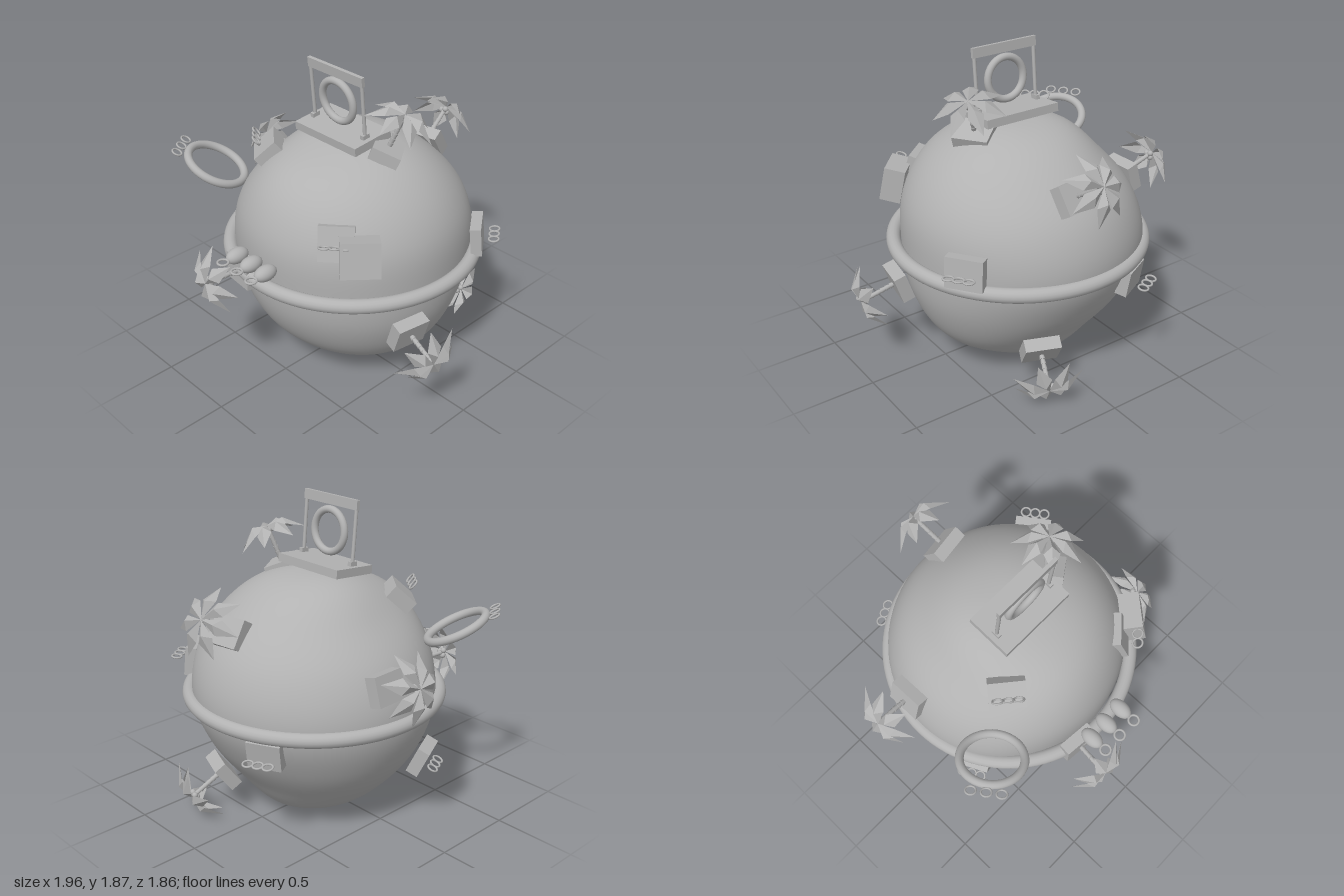
import * as THREE from 'three';
import { mergeVertices } from 'three/addons/utils/BufferGeometryUtils.js';

const grey = new THREE.MeshStandardMaterial({ color: 0xb2b2b2 });
grey.name = 'stone grey';
const leaf = new THREE.MeshStandardMaterial({ color: 0xb2b2b2, side: THREE.DoubleSide, flatShading: true });
leaf.name = 'leaf grey';

function add(parent, name, geo, x = 0, y = 0, z = 0, mat = grey) {
  const m = new THREE.Mesh(geo, mat);
  m.name = name;
  m.position.set(x, y, z);
  parent.add(m);
  return m;
}

// Group at a point on the planet, with its local z pointing outwards
function mount(root, name, pos, normal) {
  const g = new THREE.Group();
  g.name = name;
  g.position.set(...pos);
  g.lookAt(pos[0] + normal[0], pos[1] + normal[1], pos[2] + normal[2]);
  root.add(g);
  return g;
}

// Lumpy planet: four meridian profiles (radius from top to bottom), blended around
function planetGeometry() {
  const right = [.72, .736, .743, .734, .705, .73, .757, .73, .72];
  const left = [.72, .73, .69, .715, .737, .715, .71, .736, .72];
  const front = [.72, .728, .765, .742, .698, .708, .719, .712, .72];
  const back = [.72, .72, .712, .734, .735, .69, .68, .746, .72];
  const sample = (p, t) => {
    const f = Math.min(t * 8, 7.9999), i = Math.floor(f), u = f - i;
    const a = p[Math.max(i - 1, 0)], b = p[i], c = p[i + 1], d = p[Math.min(i + 2, 8)];
    return b + 0.5 * u * (c - a + u * (2 * a - 5 * b + 4 * c - d + u * (3 * (b - c) + d - a)));
  };
  let geo = new THREE.SphereGeometry(1, 72, 48);
  geo.deleteAttribute('uv');
  geo.deleteAttribute('normal');
  geo = mergeVertices(geo, 1e-4);
  const pos = geo.attributes.position, v = new THREE.Vector3();
  for (let i = 0; i < pos.count; i++) {
    v.fromBufferAttribute(pos, i).normalize();
    const t = Math.acos(THREE.MathUtils.clamp(v.y, -1, 1)) / Math.PI;
    const h = v.x * v.x + v.z * v.z, w = h > 1e-8 ? v.x * v.x / h : 0.5;
    const r = w * sample(v.x > 0 ? right : left, t) + (1 - w) * sample(v.z > 0 ? front : back, t);
    v.multiplyScalar(r);
    pos.setXYZ(i, v.x, v.y, v.z);
  }
  geo.computeVertexNormals();
  return geo;
}

// Folded leaf: ridge from root over the bend to the tip, edges hanging lower
function frondGeometry() {
  const root = [0, 0, .25], ridge = [0, .1, .265], tip = [0, .21, .165];
  const a = [-.046, .115, .225], b = [.046, .115, .225];
  const geo = new THREE.BufferGeometry();
  geo.setAttribute('position', new THREE.Float32BufferAttribute(
    [root, ridge, a, a, ridge, tip, root, b, ridge, b, tip, ridge].flat(), 3));
  geo.computeVertexNormals();
  return geo;
}

function palm(root, pos, normal, spin) {
  const g = mount(root, 'palm', pos, normal);
  add(g, 'planter', new THREE.BoxGeometry(.21, .17, .075));
  // Stacked, flared trunk segments
  for (let i = 0; i < 7; i++) {
    const s = add(g, 'trunkSegment', new THREE.CylinderGeometry(.017 - i * .0006, .012, .032, 10), 0, 0, .045 + i * .03);
    s.rotation.x = Math.PI / 2;
  }
  for (let i = 0; i < 3; i++) {
    const a = i * Math.PI * 2 / 3 + spin;
    add(g, 'coconut', new THREE.SphereGeometry(.018, 12, 8), Math.cos(a) * .02, Math.sin(a) * .02, .225);
  }
  for (let i = 0; i < 7; i++) {
    const f = add(g, 'frond', frondGeometry(), 0, 0, 0, leaf);
    f.rotation.z = spin + i * Math.PI * 2 / 7;
  }
}

// Three small rings in a row, edge-on to the ground
function ringRow(g, offset, spacing = .058) {
  for (let i = -1; i <= 1; i++) {
    const r = add(g, 'smallRing', new THREE.TorusGeometry(.029, .006, 8, 24), i * spacing, 0, offset);
    r.rotation.x = Math.PI / 2;
  }
}

function ringBox(root, pos, normal, size, offset) {
  const g = mount(root, 'ringBox', pos, normal);
  add(g, 'box', new THREE.BoxGeometry(...size));
  ringRow(g, offset);
}

export function createModel() {
  const model = new THREE.Group();
  model.name = 'planet';

  add(model, 'planetBody', planetGeometry(), 0, .75, -.07);
  const band = add(model, 'equatorRing', new THREE.TorusGeometry(.742, .043, 16, 96), .005, .745, -.065);
  band.rotation.x = Math.PI / 2;

  // Gate on the summit
  const gate = new THREE.Group();
  gate.name = 'gate';
  gate.position.set(.005, 1.487, .02);
  gate.rotation.x = .09;
  model.add(gate);
  add(gate, 'platform', new THREE.BoxGeometry(.49, .05, .28));
  for (const s of [-1, 1]) {
    add(gate, 'post', new THREE.CylinderGeometry(.011, .011, .38, 12), s * .203, .2, .02);
    add(gate, 'postFoot', new THREE.BoxGeometry(.025, .03, .05), s * .203, .035, .02);
  }
  add(gate, 'beam', new THREE.BoxGeometry(.43, .057, .022), 0, .37, .02);
  add(gate, 'gateRing', new THREE.TorusGeometry(.122, .022, 14, 48), 0, .19, .02);

  // Palms around the planet
  palm(model, [.06, 1.215, -.65], [-.03, .13, -.2], .1);
  palm(model, [.29, 1.43, -.05], [.31, .93, -.22], .25);
  palm(model, [-.7, .99, -.195], [-.21, .06, .005], .3);
  palm(model, [-.165, .75, .66], [-.025, 0, .25], .15);
  palm(model, [.7, .515, .175], [.21, -.07, .035], .1);
  palm(model, [.23, .28, -.6], [.07, -.14, -.18], .4);

  // Boxes carrying small rings
  ringBox(model, [-.355, 1.325, .27], [-.42, .72, .5], [.21, .16, .085], .105);
  ringBox(model, [.4, 1.09, .445], [.62, .3, .7], [.2, .2, .07], .11);
  ringBox(model, [.64, .86, -.47], [.8, .1, -.58], [.22, .18, .065], .1);
  ringBox(model, [-.61, .395, .23], [-.78, -.4, .38], [.2, .17, .075], .09);
  ringBox(model, [-.315, .635, -.72], [-.42, -.15, -.85], [.2, .16, .07], .11);

  // Plain crate
  const crate = mount(model, 'crate', [.55, 1.055, .415], [.73, .2, .65]);
  add(crate, 'crateBox', new THREE.BoxGeometry(.22, .205, .125));

  // Hoop standing off the upper side, with its small rings
  const hoop = mount(model, 'hoop', [-.65, 1.165, .44], [-.72, .45, .53]);
  add(hoop, 'hoopRing', new THREE.TorusGeometry(.181, .025, 14, 48)).rotation.x = Math.PI / 2;
  ringRow(hoop, .235, .085);

  // Row of pods with rings at the front
  for (let i = -1; i <= 1; i++) {
    const pod = add(model, 'pod', new THREE.SphereGeometry(1, 24, 16), .005 + i * .123, .893, .725);
    pod.scale.set(.047, .046, .073);
    const r = add(model, 'podRing', new THREE.TorusGeometry(.031, .007, 8, 24), .007 + i * .123, .893, .828);
    r.rotation.x = Math.PI / 2;
  }
  return model;
}
